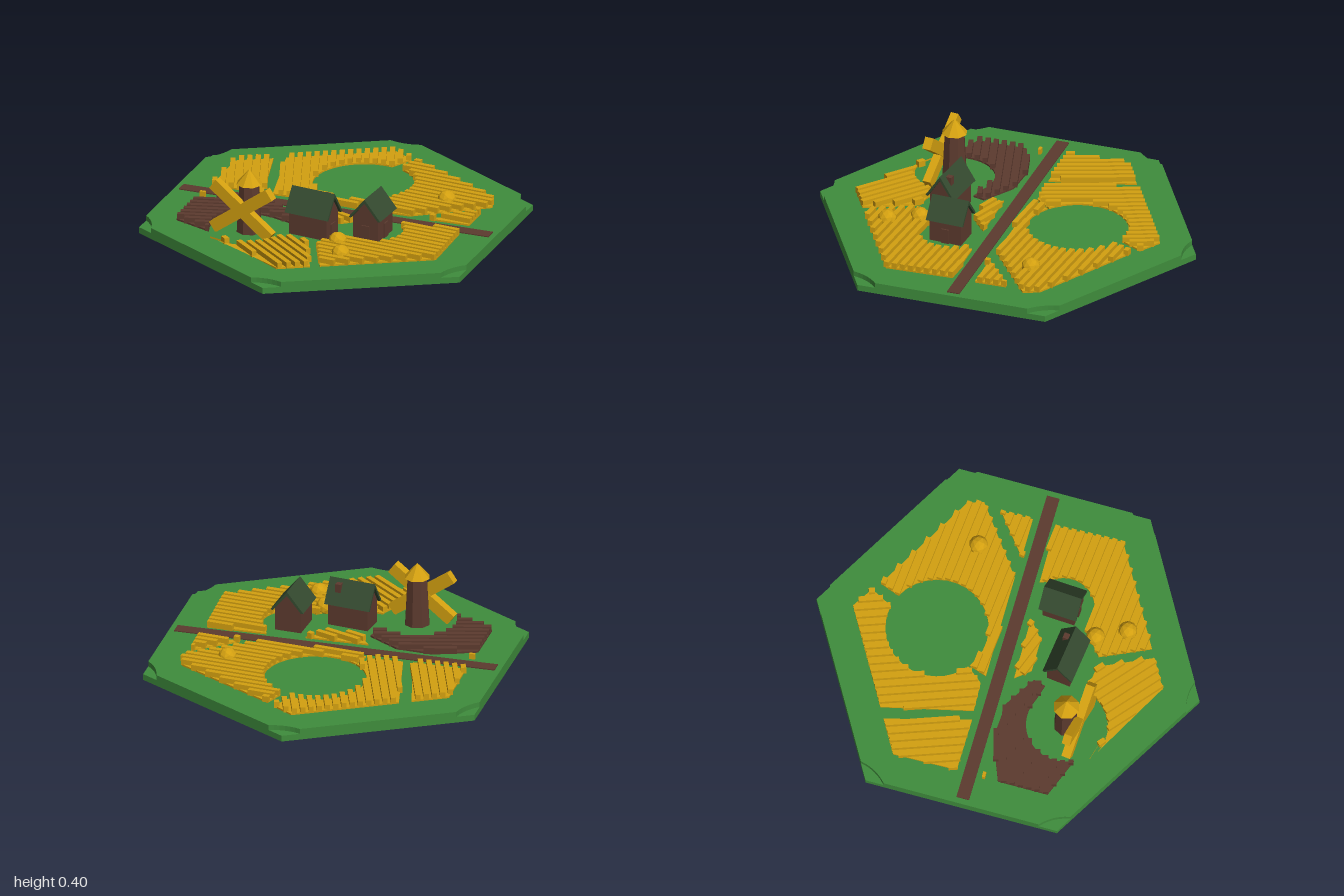
import * as THREE from 'three';
import { mergeGeometries } from 'three/addons/utils/BufferGeometryUtils.js';

const material = (name, color) => {
  const m = new THREE.MeshStandardMaterial({ color, flatShading: true });
  m.name = name;
  return m;
};

export function createModel() {
  const grass = material('grass green', 0x3f8d3c);
  const brown = material('earth brown', 0x5c3a2e);
  const straw = material('straw yellow', 0xd3a010);
  const slate = material('roof green', 0x34492f);

  const model = new THREE.Group();
  model.name = 'farmTile';
  const add = (parent, name, geometry, mat, x = 0, y = 0, z = 0) => {
    const mesh = new THREE.Mesh(geometry, mat);
    mesh.name = name;
    mesh.position.set(x, y, z);
    parent.add(mesh);
    return mesh;
  };
  const toShape = (pts) => new THREE.Shape(pts.map((p) => new THREE.Vector2(p[0], p[1])));
  // Plan outline in (x, z) raised between two heights
  const slab = (shape, y0, y1) =>
    new THREE.ExtrudeGeometry(shape, { depth: y1 - y0, bevelEnabled: false, curveSegments: 6 })
      .rotateX(Math.PI / 2).translate(0, y1, 0);
  const rad = THREE.MathUtils.degToRad;
  const arc = (cx, cz, r, a0, a1, n = 16) =>
    Array.from({ length: n + 1 }, (_, i) => {
      const a = rad(a0 + ((a1 - a0) * i) / n);
      return [cx + r * Math.cos(a), cz + r * Math.sin(a)];
    });

  // Hexagonal base: full lower layer, upper layer with scooped corners
  const corners = arc(0, 0, 1, 0, 300, 5);
  add(model, 'baseLower', slab(toShape(corners), 0.003, 0.035), grass);
  const top = new THREE.Shape();
  corners.forEach((c, i) => {
    const towards = (o) => [c[0] + (o[0] - c[0]) * 0.095, c[1] + (o[1] - c[1]) * 0.095];
    const a = towards(corners[(i + 5) % 6]);
    const b = towards(corners[(i + 1) % 6]);
    if (i === 0) top.moveTo(a[0], a[1]);
    else top.lineTo(a[0], a[1]);
    top.quadraticCurveTo(c[0] * 0.924, c[1] * 0.924, b[0], b[1]);
  });
  top.closePath();
  add(model, 'baseUpper', slab(top, 0.035, 0.062), grass);

  // Road running across the tile
  add(model, 'road', new THREE.BoxGeometry(1.674, 0.067, 0.066), brown, 0, 0.0335, 0)
    .rotation.y = -Math.PI / 6;

  // Fields: a floor plus parallel ridges cut to the outline
  const ridges = (pts, degrees, pitch = 0.042) => {
    const a = rad(degrees), c = Math.cos(a), s = Math.sin(a);
    const local = pts.map(([x, z]) => [x * c + z * s, z * c - x * s]);
    const vs = local.map((p) => p[1]);
    const boxes = [];
    for (let v = Math.min(...vs) + 0.014; v < Math.max(...vs); v += pitch) {
      const hits = [];
      local.forEach((p, i) => {
        const q = local[(i + 1) % local.length];
        if ((p[1] > v) !== (q[1] > v)) hits.push(p[0] + ((v - p[1]) / (q[1] - p[1])) * (q[0] - p[0]));
      });
      hits.sort((m, n) => m - n);
      for (let i = 0; i + 1 < hits.length; i += 2) {
        const length = hits[i + 1] - hits[i];
        if (length < 0.01) continue;
        boxes.push(new THREE.BoxGeometry(length, 0.032, 0.026)
          .translate((hits[i] + hits[i + 1]) / 2, 0.081, v).rotateY(-a));
      }
    }
    return mergeGeometries(boxes);
  };
  const fields = [
    ['backRightField', straw, -80, [[-0.41, -0.7], [-0.215, -0.7], [-0.33, -0.27], [-0.57, -0.41]]],
    ['backField', straw, 100, [[-0.15, -0.7], [0.41, -0.7], [0.47, -0.585],
      ...arc(0.19, -0.32, 0.26, -49, -203), [-0.15, -0.18], [-0.285, -0.25]]],
    ['leftField', straw, 35, [[0.49, -0.535], [0.8, -0.01], [0.785, 0.075], [0.355, 0.125],
      [-0.12, -0.145], ...arc(0.19, -0.32, 0.26, 155, -34)]],
    ['leftCornerField', straw, 35, [[0.715, 0.145], [0.635, 0.29], [0.45, 0.185]]],
    ['middleField', straw, 50, [[-0.165, -0.01], [0.12, 0.15], [0, 0.17], [-0.15, 0.085]]],
    ['frontLeftField', straw, 35, [[0.3, 0.24], [0.57, 0.39], [0.405, 0.7], [-0.185, 0.7],
      [-0.16, 0.43], ...arc(0.14, 0.32, 0.16, 150, -15)]],
    ['frontRightField', straw, 70, [[-0.6, 0.33], [-0.405, 0.7], [-0.235, 0.7], [-0.21, 0.41],
      ...arc(-0.48, 0.18, 0.21, 42, 160)]],
    ['ploughedField', brown, 15, [[-0.81, 0], [-0.68, -0.225], [-0.45, -0.19], [-0.29, -0.085],
      [-0.2, 0.085], [-0.245, 0.13], ...arc(-0.47, 0.18, 0.2, -35, -178)]],
  ];
  for (const [name, mat, angle, pts] of fields) {
    add(model, name + 'Floor', slab(toShape(pts), 0, 0.071), mat);
    add(model, name + 'Ridges', ridges(pts, angle), mat);
  }
  add(model, 'strawTuft', new THREE.BoxGeometry(0.03, 0.03, 0.016), straw, -0.635, 0.076, -0.285)
    .rotation.y = -0.5;

  // Haystacks
  for (const [x, z] of [[0.565, -0.01], [-0.055, 0.44], [-0.065, 0.605]])
    add(model, 'haystack', new THREE.IcosahedronGeometry(0.049, 1), straw, x, 0.086, z);

  // Houses: ridge along local z, door in the +z gable
  const house = (name, x, z, degrees, width, length, ridge) => {
    const g = new THREE.Group();
    g.name = name;
    g.position.set(x, 0, z);
    g.rotation.y = rad(degrees);
    model.add(g);
    const prism = (pts, l) => new THREE.ExtrudeGeometry(toShape(pts), { depth: l, bevelEnabled: false })
      .translate(0, 0, -l / 2);
    const w = width / 2, h = w - 0.018, l = length - 0.03;
    add(g, 'walls', prism([[-h, 0.06], [h, 0.06], [h, 0.19], [0, ridge - 0.015], [-h, 0.19]], l), brown);
    add(g, 'roof', prism([[-w, 0.18], [-w + 0.012, 0.176], [0, ridge - 0.022], [w - 0.012, 0.176],
      [w, 0.18], [0, ridge]], length), slate);
    add(g, 'door', new THREE.BoxGeometry(0.042, 0.08, 0.008), brown, 0, 0.1, l / 2 + 0.003);
    return { g, h };
  };
  const first = house('rightHouse', -0.153, 0.265, 53, 0.16, 0.245, 0.3);
  add(first.g, 'chimney', new THREE.BoxGeometry(0.03, 0.06, 0.03), brown, 0.027, 0.252, 0.063);
  const second = house('leftHouse', 0.14, 0.32, -33.5, 0.175, 0.2, 0.287);
  add(second.g, 'sideDoor', new THREE.BoxGeometry(0.008, 0.08, 0.042), brown, second.h + 0.003, 0.1, 0);

  // Windmill: tapered tower, pointed cap and crossed sails
  const mill = new THREE.Group();
  mill.name = 'windmill';
  mill.position.set(-0.468, 0, 0.185);
  mill.rotation.y = -rad(37);
  model.add(mill);
  add(mill, 'tower', new THREE.CylinderGeometry(0.052, 0.066, 0.26, 8), brown, 0, 0.19, 0);
  add(mill, 'cap', new THREE.ConeGeometry(0.067, 0.078, 8), straw, 0, 0.358, 0);
  for (const side of [-1, 1])
    add(mill, 'sail', new THREE.BoxGeometry(0.4, 0.062, 0.044 + side * 0.002), straw, 0, 0.2, 0.07)
      .rotation.z = side * rad(36);

  return model;
}
